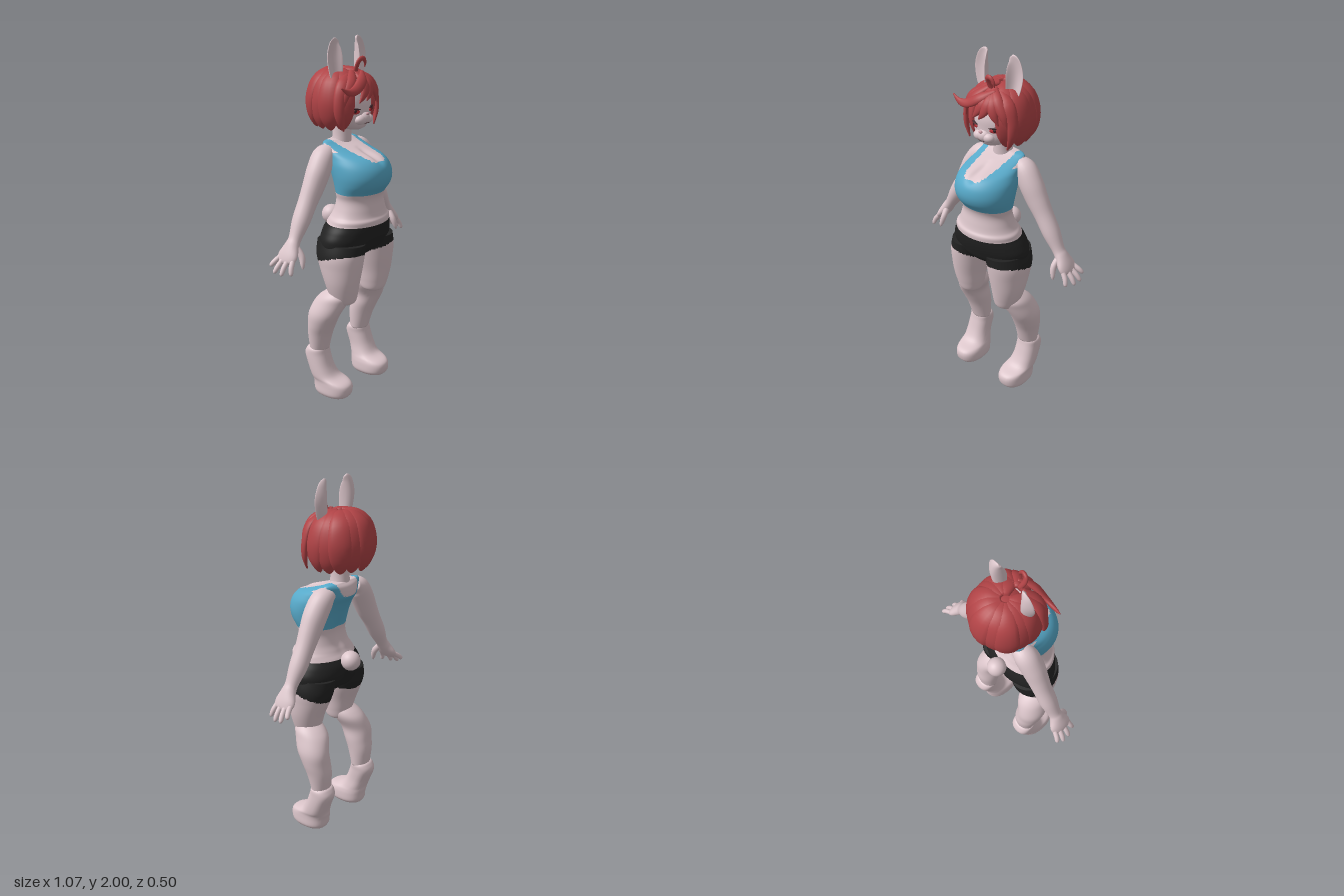
import * as THREE from 'three';

const mat = (name, color, side = THREE.FrontSide) => {
  const m = new THREE.MeshStandardMaterial({ color, side });
  m.name = name;
  return m;
};
const skin = mat('skin', 0xdcc6cb);
const hair = mat('hair', 0xb04346);
const blue = mat('blueTop', 0x57a9c9);
const black = mat('blackShorts', 0x222222);
const dark = mat('darkLash', 0x3a2226);
const red = mat('redIris', 0xc0343a);
const pink = mat('pinkNose', 0xc79aa2);

// Smooth interpolation of numeric rows, sub steps between each pair
function refine(rows, sub) {
  const out = [];
  for (let i = 0; i < rows.length - 1; i++) {
    const p = [rows[Math.max(i - 1, 0)], rows[i], rows[i + 1], rows[Math.min(i + 2, rows.length - 1)]];
    for (let k = 0; k < sub; k++) {
      const t = k / sub;
      out.push(rows[i].map((_, c) => {
        const [a, b, d, e] = p.map(r => r[c]);
        const m0 = (d - a) / 2, m1 = (e - b) / 2;
        return b + t * m0 + t * t * (3 * (d - b) - 2 * m0 - m1) + t * t * t * (2 * (b - d) + m0 + m1);
      }));
    }
  }
  out.push(rows[rows.length - 1]);
  return out;
}

// Closed surface through rings of points; pick(centroid) selects the material index of a face
function surface(name, rings, mats, pick = () => 0) {
  const n = rings[0].length, verts = rings.flat();
  const mean = r => r.reduce((s, p) => s.add(p), new THREE.Vector3()).divideScalar(n);
  const last = rings.length - 1, lo = verts.length, hi = lo + 1;
  verts.push(mean(rings[0]), mean(rings[last]));
  const bins = mats.map(() => []);
  const face = (...f) => {
    const c = new THREE.Vector3();
    f.forEach(i => c.addScaledVector(verts[i], 1 / f.length));
    const bin = bins[pick(c)];
    bin.push(f[0], f[1], f[2]);
    if (f.length === 4) bin.push(f[0], f[2], f[3]);
  };
  for (let j = 0; j < n; j++) {
    const k = (j + 1) % n;
    for (let i = 0; i < last; i++) face(i * n + j, i * n + k, (i + 1) * n + k, (i + 1) * n + j);
    face(lo, k, j);
    face(hi, last * n + j, last * n + k);
  }
  const g = new THREE.BufferGeometry().setFromPoints(verts);
  g.setIndex(bins.flat());
  let start = 0;
  bins.forEach((b, i) => { g.addGroup(start, b.length, i); start += b.length; });
  g.computeVertexNormals();
  const mesh = new THREE.Mesh(g, mats.length > 1 ? mats : mats[0]);
  mesh.name = name;
  return mesh;
}

// Level rings, bottom to top: [y, centre x, half width, front z, back z]
function stack(name, rows, { mats = [skin], pick, n = 32, sub = 5, pow = 1, warp } = {}) {
  const sp = v => Math.sign(v) * Math.abs(v) ** pow;
  const rings = refine(rows, sub).map(([y, x, w, f, b]) => Array.from({ length: n }, (_, j) => {
    const a = j / n * Math.PI * 2;
    const p = new THREE.Vector3(x - w * sp(Math.cos(a)), y, (f + b) / 2 + (f - b) / 2 * sp(Math.sin(a)));
    if (warp) warp(p);
    return p;
  }));
  return surface(name, rings, mats, pick);
}

// Rings across a path: [x, y, z, half width, half thickness, curl]; out(p) is the thickness direction
function loft(name, rows, material, out, n = 14, sub = 5) {
  const pts = refine(rows, sub), pos = pts.map(r => new THREE.Vector3(r[0], r[1], r[2]));
  const rings = pts.map(([, , , a, b, curl = 0], i) => {
    const t = pos[Math.min(i + 1, pos.length - 1)].clone().sub(pos[Math.max(i - 1, 0)]).normalize();
    const o = out(pos[i]);
    o.addScaledVector(t, -o.dot(t)).normalize();
    const s = o.clone().cross(t);
    return Array.from({ length: n }, (_, j) => {
      const c = Math.cos(j / n * Math.PI * 2), d = Math.sin(j / n * Math.PI * 2);
      return pos[i].clone().addScaledVector(s, a * c).addScaledVector(o, b * d + curl * c * c);
    });
  });
  return surface(name, rings, [material]);
}

function ball(name, material, [x, y, z], [a, b, c], ry = 0, rz = 0) {
  const m = new THREE.Mesh(new THREE.SphereGeometry(1, 28, 18), material);
  m.position.set(x, y, z);
  m.scale.set(a, b, c);
  m.rotation.set(0, ry, rz);
  m.name = name;
  return m;
}

const bump = (v, c, w) => Math.exp(-(((v - c) / w) ** 2));

export function createModel() {
  const g = new THREE.Group();
  g.name = 'rabbitFigure';

  // Torso: shorts, bare waist and crop top with neckline and armholes
  const body = [
    [.805, 0, .03, .08, -.01], [.84, 0, .14, .13, -.07], [.88, 0, .225, .178, -.1], [.93, 0, .24, .198, -.115],
    [.98, 0, .222, .211, -.11], [1.02, 0, .2, .216, -.092], [1.045, 0, .192, .216, -.075], [1.065, 0, .175, .205, -.065],
    [1.1, 0, .16, .197, -.05], [1.15, 0, .148, .19, -.042], [1.19, 0, .156, .2, -.045], [1.24, 0, .167, .235, -.058],
    [1.29, 0, .172, .246, -.075], [1.34, 0, .168, .232, -.1], [1.38, 0, .156, .19, -.127], [1.41, 0, .148, .1, -.128],
    [1.44, 0, .14, .01, -.12], [1.457, 0, .125, -.03, -.105], [1.462, 0, .07, -.035, -.1]];
  g.add(stack('torso', body, {
    mats: [skin, black, blue], n: 120, sub: 7,
    warp: p => {
      if (p.z > .05) p.z -= .04 * bump(p.x, 0, .022) * bump(p.y, 1.39, .025);
      if (p.z < -.02) p.z += .03 * bump(p.x, 0, .025) * bump(p.y, .89, .06) + .012 * bump(p.x, 0, .03) * bump(p.y, 1.15, .1);
    },
    pick: p => {
      const x = Math.abs(p.x);
      if (p.y < 1.02) return 1;
      if (p.y < 1.19 || (x > .135 && p.y > 1.41)) return 0;
      const neck = (p.z > -.05 ? 1.365 : 1.385) + .09 * (x / .088) ** 5;
      return x < .088 && p.y > neck ? 0 : 2;
    },
  }));
  g.add(stack('neck', [[1.42, 0, .062, 0, -.11], [1.48, 0, .05, 0, -.105], [1.58, 0, .05, 0, -.1]]));
  g.add(ball('tail', skin, [0, 1.01, -.13], [.055, .055, .055]));

  // Head and face
  g.add(stack('head', [[1.52, 0, .03, .065, -.03], [1.535, 0, .075, .09, -.08], [1.57, 0, .112, .105, -.1], [1.62, 0, .135, .106, -.12],
    [1.68, 0, .14, .105, -.13], [1.75, 0, .12, .08, -.12], [1.8, 0, .07, .03, -.08]]));
  g.add(ball('muzzle', skin, [0, 1.585, .09], [.042, .036, .038]));
  g.add(ball('nose', pink, [0, 1.612, .124], [.012, .008, .008]));
  g.add(ball('mouth', dark, [0, 1.562, .116], [.022, .002, .006]));

  for (const s of [1, -1]) {
    const side = s > 0 ? 'left' : 'right';
    const row = r => [r[0] * s, ...r.slice(1)];
    const mid = rows => rows.map(([y, x, ...r]) => [y, x * s, ...r]);

    g.add(ball(side + 'Cheek', skin, [.03 * s, 1.58, .095], [.036, .027, .03]));
    g.add(ball(side + 'Eye', red, [.072 * s, 1.627, .089], [.034, .014, .007], .42 * s, .1 * s));
    g.add(ball(side + 'Pupil', dark, [.07 * s, 1.628, .094], [.009, .01, .006], .42 * s));
    g.add(ball(side + 'Lash', dark, [.073 * s, 1.641, .091], [.039, .005, .008], .42 * s, .14 * s));

    // Ear, hollow towards the front
    g.add(loft(side + 'Ear', [[.085, 1.76, -.02, .025, .014, .01], [.097, 1.82, -.03, .04, .013, .03], [.105, 1.9, -.035, .047, .012, .034],
      [.1, 1.96, -.03, .037, .01, .022], [.087, 1.992, -.022, .018, .007, .005], [.084, 1.998, -.02, .004, .003, 0]].map(row),
      skin, () => new THREE.Vector3(.3 * s, 0, 1), 20));

    // Arm with palm, then spread fingers
    const outward = () => new THREE.Vector3(s, .6, 0);
    g.add(loft(side + 'Arm', [[.1, 1.41, -.06, .045, .035], [.15, 1.385, -.055, .063, .06], [.2, 1.315, -.05, .065, .066],
      [.245, 1.235, -.05, .058, .062], [.29, 1.16, -.052, .052, .053], [.345, 1.07, -.052, .05, .047], [.395, .99, -.05, .037, .033],
      [.42, .955, -.05, .043, .032], [.45, .91, -.052, .062, .028], [.47, .88, -.055, .055, .02], [.478, .868, -.055, .03, .01]].map(row), skin, outward, 24));
    const tips = [[.515, .85, -.122], [.528, .822, -.085], [.522, .815, -.04], [.498, .82, .01]];
    tips.forEach(([x, y, z], i) => {
      const b = [.455, .9, -.095 + i * .028];
      const at = t => [b[0] + (x - b[0]) * t + .008 * Math.sin(t * Math.PI), b[1] + (y - b[1]) * t, b[2] + (z - b[2]) * t];
      g.add(loft(side + 'Finger' + (i + 1), [[...at(0), .014, .014], [...at(.5), .014, .014], [...at(.88), .011, .011], [...at(1), .003, .003]].map(row), skin, outward, 12));
    });
    g.add(loft(side + 'Thumb', [[.415, .95, -.03, .018, .018], [.41, .905, .005, .018, .017], [.418, .86, .02, .012, .012], [.423, .838, .024, .003, .003]].map(row), skin, outward, 12));

    // Leg: thigh with slanted shorts hem, shin and long foot
    g.add(stack(side + 'Thigh', mid([[.56, .135, .045, .11, .02], [.578, .135, .066, .137, -.005], [.63, .14, .082, .152, -.02], [.7, .144, .096, .166, -.042],
      [.78, .14, .109, .179, -.075], [.85, .135, .117, .187, -.097], [.92, .122, .112, .19, -.103]]), {
      mats: [skin, black], n: 64, sub: 12,
      pick: p => p.y > .79 + .29 * (p.z + .08) + .15 * (Math.abs(p.x) - .135) ? 1 : 0,
    }));
    g.add(stack(side + 'Shin', mid([[.26, .185, .062, -.02, -.12], [.36, .19, .072, .01, -.13], [.43, .195, .08, .04, -.123], [.5, .197, .081, .075, -.115],
      [.57, .17, .086, .108, -.09], [.61, .158, .08, .12, -.055], [.64, .15, .058, .1, -.01]])));
    g.add(stack(side + 'Foot', mid([[0, .175, .072, .122, -.085], [.02, .174, .082, .136, -.095], [.06, .174, .081, .14, -.1], [.085, .177, .078, .12, -.105],
      [.11, .184, .075, .052, -.108], [.16, .19, .07, .016, -.125], [.23, .19, .068, -.01, -.15], [.268, .188, .065, -.02, -.135], [.28, .188, .045, -.03, -.12]]), { pow: .85 }));
  }

  // Hair: inner cap and a ring of thick locks falling from the crown
  g.add(ball('hairCap', hair, [0, 1.685, -.068], [.162, .145, .15]));
  const away = p => p.clone().sub(new THREE.Vector3(0, 1.66, -.05));
  const fall = [[1.825, .1, .02, .015], [1.812, .4, .05, .026], [1.765, .7, .062, .03], [1.68, .85, .066, .03], [1.6, .83, .055, .026], [1.545, .74, .028, .015], [1.525, .68, .004, .004]];
  for (let i = -5; i <= 5; i++) {
    const a = i * .46, c = Math.cos(a), wave = i % 2 ? .97 : 1.02;
    const tail = c > 0 ? .012 * c : 0;
    g.add(loft('hairLock', fall.map(([y, f, w, t]) => [Math.sin(a) * f * .186 * wave, y + tail * f, -.058 - c * f * .186 * wave, w, t]), hair, away));
  }

  // Fringe, crown locks, flying wisp and curl
  for (const s of [1, -1]) {
    g.add(loft('sideLock', [[.04 * s, 1.815, .02, .02, .015], [.12 * s, 1.765, .05, .035, .02], [.155 * s, 1.68, .055, .03, .018],
      [.155 * s, 1.6, .06, .024, .014], [.13 * s, 1.53, .065, .004, .004]], hair, away));
  }
  const fringe = [
    [[.01, 1.825, .03], [.07, 1.785, .075], [.12, 1.72, .085], [.14, 1.65, .08]],
    [[.02, 1.825, .03], [.05, 1.775, .09], [.075, 1.72, .108], [.1, 1.665, .1]],
    [[.0, 1.825, .03], [.0, 1.775, .095], [-.02, 1.725, .118], [-.06, 1.672, .115]],
    [[.02, 1.825, .03], [.03, 1.775, .095], [.02, 1.725, .12], [-.012, 1.68, .125]],
    [[-.02, 1.825, .03], [-.075, 1.78, .07], [-.125, 1.73, .08], [-.145, 1.65, .075]]];
  const size = [[.018, .012], [.03, .018], [.024, .014], [.003, .003]];
  fringe.forEach(f => g.add(loft('fringeLock', f.map((p, i) => [...p, ...size[i]]), hair, away)));
  g.add(loft('flyingWisp', [[.04, 1.82, .05, .012, .01], [-.02, 1.785, .1, .028, .016], [-.09, 1.745, .115, .025, .014],
    [-.15, 1.738, .115, .017, .011], [-.2, 1.765, .108, .003, .003]], hair, away));
  g.add(loft('topCurl', [[.005, 1.815, .035, .014, .012], [-.005, 1.86, .055, .014, .01], [.002, 1.888, .068, .014, .01],
    [.025, 1.892, .073, .012, .009], [.043, 1.87, .07, .008, .007], [.045, 1.845, .066, .002, .002]], hair, () => new THREE.Vector3(0, 0, 1), 12));
  return g;
}
